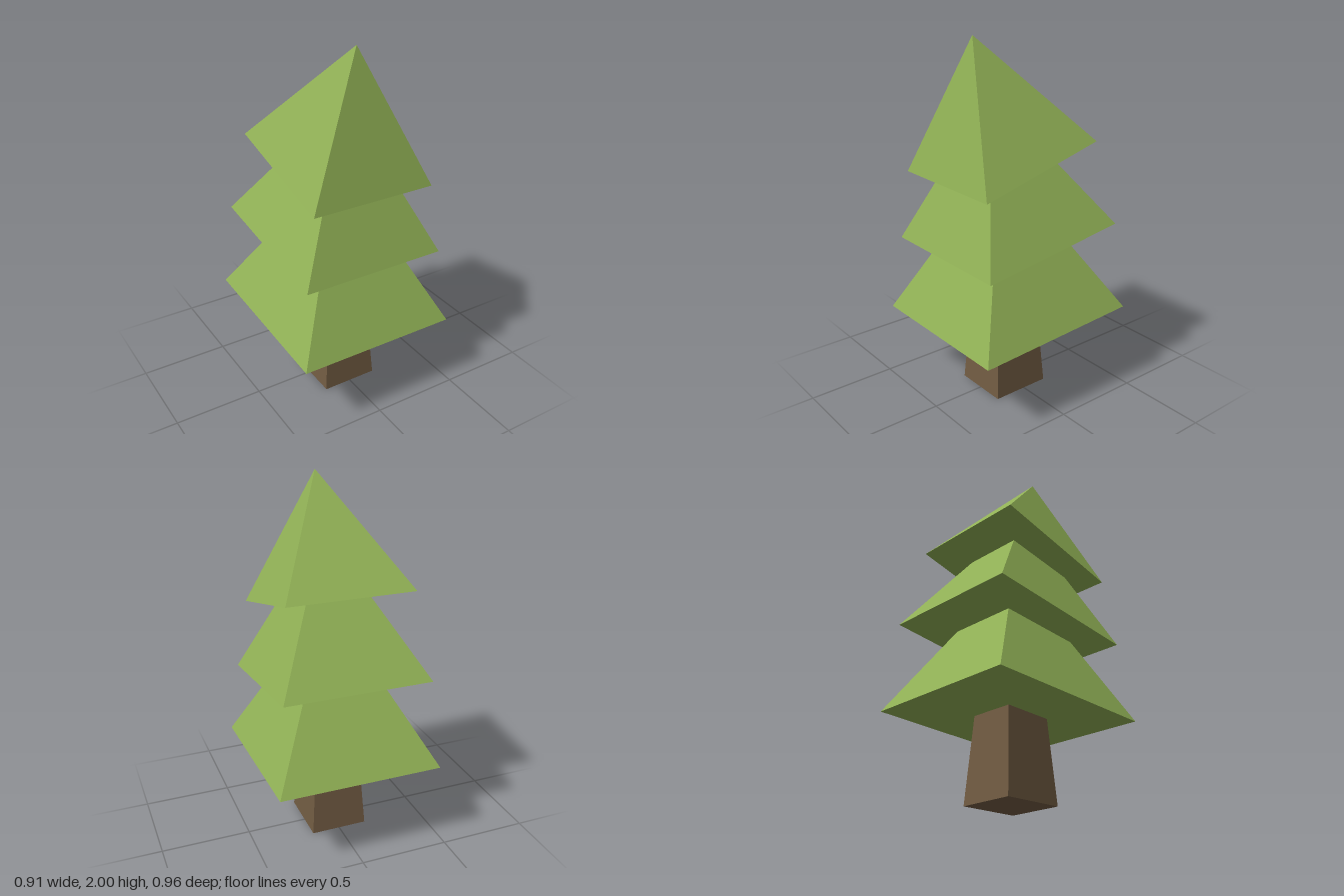
import * as THREE from 'three';

// Four-sided tapered solid standing on y = 0 with flat faces
function taperedBlock(topScale, width, height, depth) {
  const r = Math.SQRT1_2;
  let g = new THREE.CylinderGeometry(r * topScale, r, 1, 4, 1);
  g.rotateY(Math.PI / 4);
  g.translate(0, 0.5, 0);
  g.scale(width, height, depth);
  g = g.toNonIndexed();
  g.computeVertexNormals();
  return g;
}

export function createModel() {
  const tree = new THREE.Group();
  tree.name = 'pineTree';

  const leafGreen = new THREE.MeshStandardMaterial({ color: 0x90b055 });
  leafGreen.name = 'leafGreen';
  const barkBrown = new THREE.MeshStandardMaterial({ color: 0x725c43 });
  barkBrown.name = 'barkBrown';

  // Trunk, its top hidden inside the lowest tier
  const trunk = new THREE.Mesh(taperedBlock(0.79, 0.32, 0.5, 0.34), barkBrown);
  trunk.name = 'trunk';
  trunk.position.z = 0.02;
  tree.add(trunk);

  // Foliage pyramids, each smaller and leaning further forward
  const tiers = [
    { name: 'lowerFoliage', size: [0.91, 0.865, 0.961], y: 0.461, z: 0, tilt: 0.054 },
    { name: 'middleFoliage', size: [0.82, 0.783, 0.863], y: 0.925, z: -0.002, tilt: 0.14 },
    { name: 'upperFoliage', size: [0.704, 0.667, 0.743], y: 1.356, z: 0.041, tilt: 0.2615 },
  ];
  for (const t of tiers) {
    const tier = new THREE.Mesh(taperedBlock(0, ...t.size), leafGreen);
    tier.name = t.name;
    tier.position.set(0, t.y, t.z);
    tier.rotation.x = t.tilt;
    tree.add(tier);
  }

  return tree;
}
